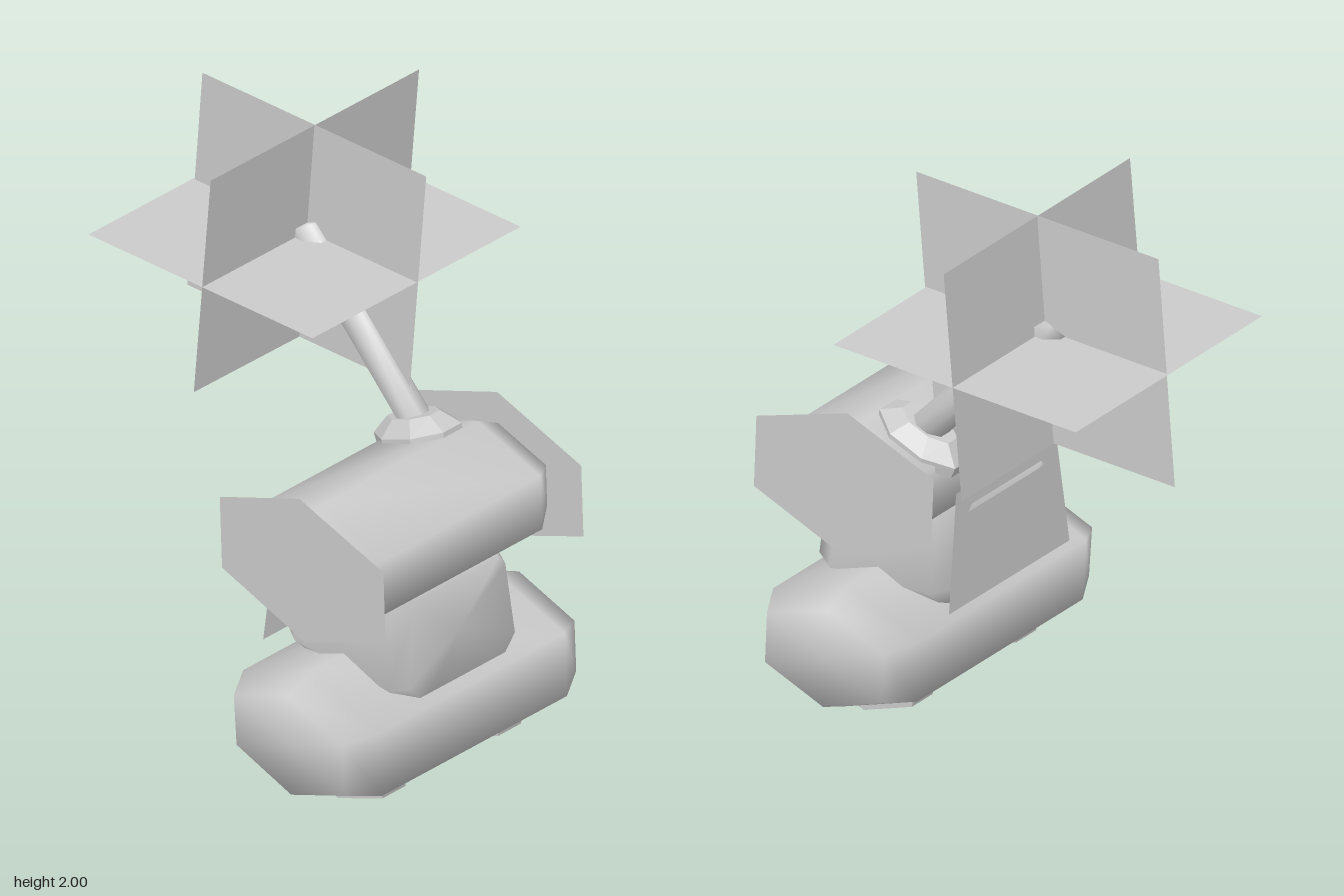
import * as THREE from 'three';

const V = (x, y, z) => new THREE.Vector3(x, y, z);
const material = (opts = {}) => new THREE.MeshStandardMaterial({ color: 0xcccccc, ...opts });

function add(group, name, geometry, opts) {
  const mesh = new THREE.Mesh(geometry, material(opts));
  mesh.name = name;
  group.add(mesh);
  return mesh;
}

// Closed skin through rings of equal point count, with a fan cap on both ends
function loft(rings) {
  const n = rings[0].length, pts = rings.flat(), idx = [];
  for (let r = 0; r < rings.length - 1; r++) {
    for (let i = 0; i < n; i++) {
      const a = r * n + i, b = r * n + (i + 1) % n;
      idx.push(a, b, a + n, b, b + n, a + n);
    }
  }
  [0, rings.length - 1].forEach((r) => {
    const c = rings[r].reduce((s, p) => s.add(p), V(0, 0, 0)).divideScalar(n);
    pts.push(c);
    for (let i = 0; i < n; i++) {
      const a = r * n + i, b = r * n + (i + 1) % n;
      idx.push(...(r === 0 ? [pts.length - 1, b, a] : [pts.length - 1, a, b]));
    }
  });
  // Turn the faces outward whichever way the rings run
  let volume = 0;
  for (let i = 0; i < idx.length; i += 3) {
    volume += pts[idx[i]].dot(V(0, 0, 0).crossVectors(pts[idx[i + 1]], pts[idx[i + 2]]));
  }
  if (volume < 0) idx.reverse();
  const g = new THREE.BufferGeometry().setFromPoints(pts);
  g.setIndex(idx);
  g.computeVertexNormals();
  return g;
}

// Thin flat panel from its corners in order
function panel(corners) {
  const g = new THREE.BufferGeometry().setFromPoints(corners);
  const idx = [];
  for (let i = 1; i < corners.length - 1; i++) idx.push(0, i, i + 1);
  g.setIndex(idx);
  g.computeVertexNormals();
  return g;
}

// Hexagon in the zy plane, points given as [z, y] about a centre
const hexRing = (x, pts, [cz, cy], s) => pts.map(([z, y]) => V(x, cy + (y - cy) * s, cz + (z - cz) * s));

// Six-sided drum along x with chamfered ends
const drum = (x0, x1, chamfer, pts, c, size, end) => loft([
  hexRing(x0, pts, c, size * end), hexRing(x0 + chamfer, pts, c, size),
  hexRing(x1 - chamfer, pts, c, size), hexRing(x1, pts, c, size * end),
]);

export function createModel() {
  const model = new THREE.Group();
  model.name = 'model';

  // Lower drum
  const lowHex = [[0.42, 0.51], [0.125, 0.4], [0.14, 0.175], [0.44, 0.06], [0.735, 0.17], [0.725, 0.4]];
  add(model, 'lowerDrum', drum(-0.66, 0.44, 0.11, lowHex, [0.43, 0.287], 1, 0.8));

  // Upper drum with a larger plate on each end
  const upHex = [[0.4, 1.16], [0.05, 1.03], [0.06, 0.77], [0.425, 0.635], [0.78, 0.77], [0.77, 1.03]];
  const upC = [0.412, 0.898];
  add(model, 'upperDrum', drum(-0.578, 0.358, 0.095, upHex, upC, 0.75, 0.76));
  [-0.58, 0.36].forEach((x, i) => add(model, i ? 'leftEndPlate' : 'rightEndPlate',
    panel(hexRing(x, upHex, upC, 1)), { side: THREE.DoubleSide }));

  // Neck: tapered block with clipped corners between the drums
  const cx = -0.11;
  const half = [[0.2, 0.36], [0.285, 0.45], [0.25, 0.75], [0.215, 0.79]];
  const section = [...half, ...half.map(([x, y]) => [-x, y]).reverse()];
  const neckRing = (z, s, lift) => section.map(([x, y]) =>
    V(cx + x * s, 0.59 + (y - 0.59) * s + lift, z - (y - 0.59) * 0.045));
  add(model, 'neck', loft([
    neckRing(0.12, 0.85, 0.04), neckRing(0.2, 1, 0.03), neckRing(0.61, 1, 0), neckRing(0.675, 0.88, 0),
  ]));
  add(model, 'neckBackPlate', panel([
    V(cx - 0.32, 0.455, 0.102), V(cx - 0.265, 0.87, 0.115), V(cx + 0.265, 0.87, 0.115), V(cx + 0.32, 0.455, 0.102),
  ]), { side: THREE.DoubleSide });

  // Feet: straps that follow the underside of the lower drum
  const footPts = [[0.645, 0.14], [0.635, 0.075], [0.44, 0], [0.245, 0.075], [0.235, 0.14], [0.44, 0.12]];
  [-0.385, 0.165].forEach((x, i) => add(model, i ? 'leftFoot' : 'rightFoot', loft(
    [-0.055, 0.055].map((d) => footPts.map(([z, y]) => V(x + d, y, z)))), { flatShading: true }));

  // Tilted oval rings shared by the mast and its base
  const mx = 0.157;
  const oval = (z, y, rx, ru, n = 8) => Array.from({ length: n }, (_, i) => {
    const a = ((i + 0.5) / n) * Math.PI * 2, k = 1 / Math.cos(Math.PI / n);
    const u = Math.sin(a) * ru * k;
    return V(mx + Math.cos(a) * rx * k, y + u * 0.36, z + u * 0.93);
  });
  add(model, 'mastBase', loft([
    oval(0.25, 1.01, 0.105, 0.16), oval(0.238, 1.05, 0.105, 0.165), oval(0.22, 1.098, 0.06, 0.1),
  ]), { flatShading: true });
  add(model, 'mastTube', loft([oval(0.22, 1.09, 0.05, 0.06), oval(-0.08, 1.41, 0.05, 0.06)]));
  add(model, 'mastSleeve', loft([oval(-0.055, 1.383, 0.06, 0.074), oval(-0.27, 1.615, 0.056, 0.064)]));

  // Three crossed panels around the mast tip
  const vanes = new THREE.Group();
  vanes.name = 'crossedPanels';
  model.add(vanes);
  const thin = { side: THREE.DoubleSide };
  add(vanes, 'levelPanel', panel([
    V(-0.34, 1.592, -0.75), V(-0.34, 1.592, 0.235), V(0.65, 1.588, 0.235), V(0.65, 1.588, -0.75)]), thin);
  add(vanes, 'crossPanel', panel([
    V(-0.335, 2, -0.217), V(-0.345, 1.19, -0.282), V(0.645, 1.18, -0.282), V(0.655, 1.995, -0.217)]), thin);
  add(vanes, 'lengthPanel', panel([
    V(0.158, 2, 0.275), V(0.156, 1.185, 0.205), V(0.156, 1.185, -0.775), V(0.158, 2, -0.71)]), thin);

  return model;
}
